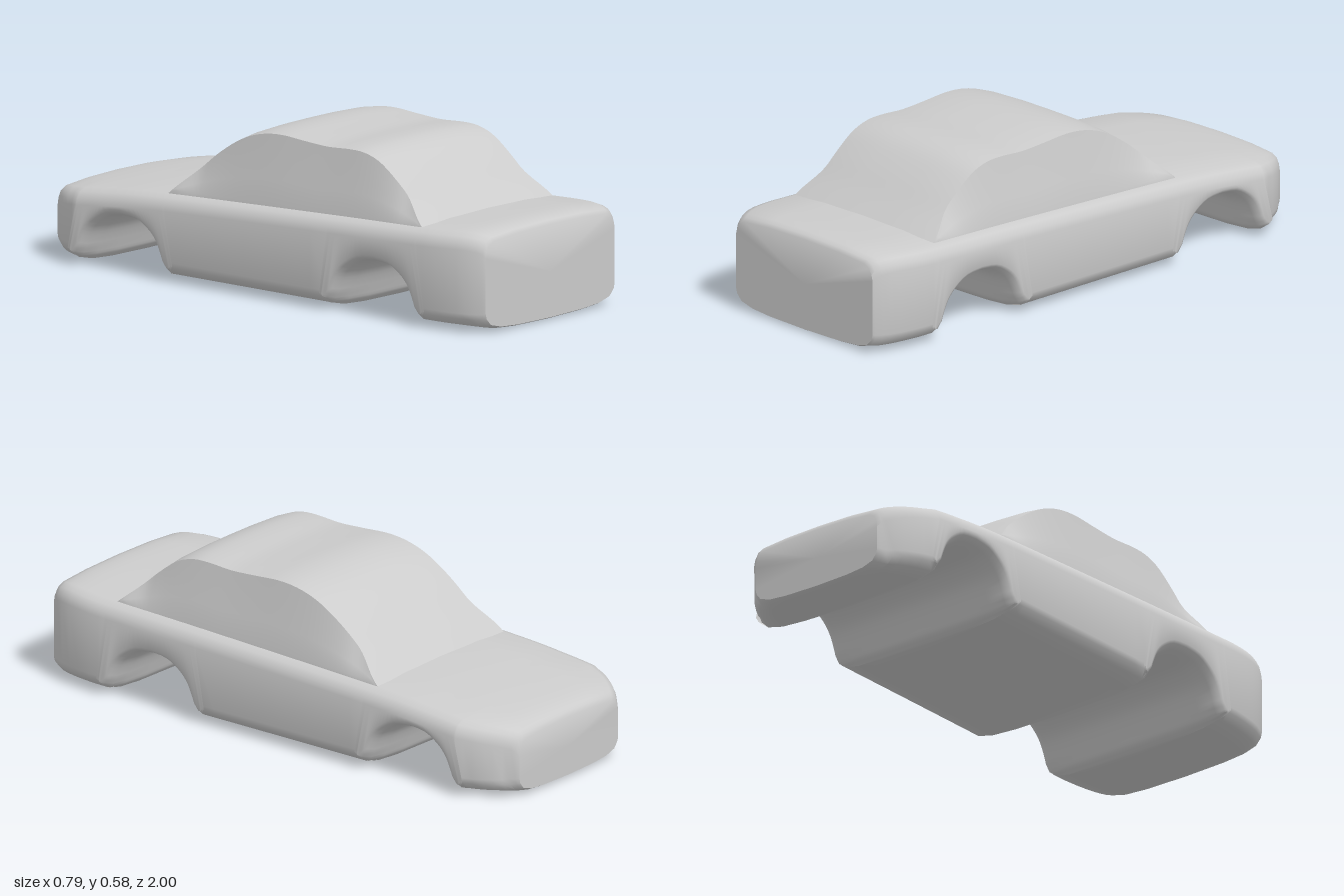
import * as THREE from 'three';
import { toCreasedNormals } from 'three/addons/utils/BufferGeometryUtils.js';

// Smooth height-by-z lookup through a few [z, value] points, z falling
function profile(points) {
  const pts = new THREE.SplineCurve(points.map(p => new THREE.Vector2(...p))).getPoints(240);
  return z => {
    if (z >= pts[0].x) return pts[0].y;
    for (let i = 1; i < pts.length; i++) {
      const a = pts[i - 1], b = pts[i];
      if (z >= b.x) return a.x === b.x ? b.y : a.y + (b.y - a.y) * (a.x - z) / (a.x - b.x);
    }
    return pts[pts.length - 1].y;
  };
}

// Skin mirrored half sections ([x, y, z] from bottom centre to top centre) and cap both ends
function loft(halves, crease) {
  const rings = halves.map(h => [...h, ...h.slice(1, -1).reverse().map(([x, y, z]) => [-x, y, z])]);
  const n = rings[0].length, pos = rings.flat(2), idx = [];
  for (let i = 0; i < rings.length - 1; i++) {
    for (let j = 0; j < n; j++) {
      const a = i * n + j, b = i * n + (j + 1) % n;
      idx.push(a, a + n, b, b, a + n, b + n);
    }
  }
  [0, rings.length - 1].forEach((r, end) => {
    const c = pos.length / 3;
    const ys = rings[r].map(p => p[1]);
    pos.push(0, (Math.min(...ys) + Math.max(...ys)) / 2, rings[r][0][2]);
    for (let j = 0; j < n; j++) {
      const a = r * n + j, b = r * n + (j + 1) % n;
      if (end) idx.push(c, b, a); else idx.push(c, a, b);
    }
  });
  const g = new THREE.BufferGeometry();
  g.setAttribute('position', new THREE.Float32BufferAttribute(pos, 3));
  g.setIndex(idx);
  return toCreasedNormals(g, crease);
}

function lowerBody() {
  const top = profile([[1, 0.335], [0.99, 0.348], [0.96, 0.356], [0.9, 0.36], [0.72, 0.353],
    [0.3, 0.34], [-0.43, 0.312], [-0.7, 0.292], [-0.87, 0.272], [-0.95, 0.257], [-0.985, 0.242], [-1, 0.222]]);
  const width = profile([[1, 0.34], [0.96, 0.362], [0.9, 0.38], [0.82, 0.391], [0.7, 0.395], [0, 0.395],
    [-0.75, 0.395], [-0.82, 0.386], [-0.88, 0.365], [-0.95, 0.318], [-1, 0.27]]);

  // Underside path with two full-width wheel arches
  const halfArch = new THREE.SplineCurve([[0.205, 0], [0.18, 0.02], [0.168, 0.05], [0.155, 0.085],
    [0.135, 0.125], [0.105, 0.155], [0.06, 0.18], [0, 0.187]].map(p => new THREE.Vector2(...p))).getPoints(21);
  const arch = c => [...halfArch.map(p => [c + p.x, p.y]),
    ...halfArch.slice(0, -1).reverse().map(p => [c - p.x, p.y])];
  const path = [[1, 0.008], [0.99, 0.003], [0.97, 0], [0.94, 0], [0.9, 0], [0.85, 0], [0.8, 0], [0.76, 0],
    ...arch(0.53), [0.25, 0], [0.1, 0], [-0.05, 0], [-0.2, 0], [-0.35, 0], ...arch(-0.61),
    [-0.84, 0], [-0.87, 0], [-0.9, 0], [-0.93, 0], [-0.96, 0], [-0.98, 0.003], [-0.99, 0.005], [-1, 0.01]];

  const halves = path.map(([z, b], i) => {
    const p = path[Math.max(i - 1, 0)], q = path[Math.min(i + 1, path.length - 1)];
    const len = Math.hypot(q[0] - p[0], q[1] - p[1]);
    const atEnd = Math.abs(z) > 0.98;
    const nz = atEnd ? 0 : (q[1] - p[1]) / len, ny = atEnd ? 1 : (p[0] - q[0]) / len;
    const off = 0.05 - 0.024 * Math.min(1, b / 0.06);
    const t = top(z), w = width(z);
    // rounded lower edge follows the underside, rounded shoulder follows the top
    const low = [[0, 0], [0.5, 0.06], [0.76, 0.2], [0.92, 0.5], [0.985, 1], [1, 1.4]]
      .map(([k, o]) => [k * w, b + ny * off * o, z + nz * off * o]);
    const high = [[1, 0.066], [0.985, 0.044], [0.945, 0.023], [0.87, 0.012], [0.5, 0.003], [0, 0]]
      .map(([k, d]) => [k * w, t - d, z]);
    return [...low, ...high];
  });
  return loft(halves, 0.75);
}

function cabin() {
  const roof = profile([[0.73, 0.342], [0.65, 0.41], [0.57, 0.482], [0.49, 0.541], [0.42, 0.566], [0.35, 0.57],
    [0.25, 0.565], [0.15, 0.57], [0.04, 0.577], [-0.05, 0.568], [-0.14, 0.538], [-0.24, 0.477],
    [-0.34, 0.396], [-0.44, 0.308]]);
  const halves = [], steps = 56;
  for (let i = 0; i <= steps; i++) {
    const z = 0.73 - 1.17 * i / steps;
    const belt = 0.326 + 0.03 * z;
    const t = roof(z), edge = t - 0.014;
    const x = 0.345 - 0.047 * THREE.MathUtils.smoothstep(t - belt, 0, 0.11);
    const base = Math.min(belt, edge) - 0.03;
    const y0 = Math.max(base + 0.01, Math.min(belt, edge - 0.005));
    halves.push([[0, base, z], [0.346, base, z], [0.345, y0, z],
      [0.345 + (x - 0.345) * 0.4, y0 + (edge - y0) * 0.35, z],
      [x, edge, z], [x * 0.8, t - 0.006, z], [x * 0.4, t - 0.001, z], [0, t, z]]);
  }
  return loft(halves, 0.6);
}

export function createModel() {
  const paint = new THREE.MeshStandardMaterial({ color: 0xcccccc });
  paint.name = 'plain grey';
  const car = new THREE.Group();
  car.name = 'carBody';
  for (const [name, geometry] of [['lowerBody', lowerBody()], ['cabin', cabin()]]) {
    const mesh = new THREE.Mesh(geometry, paint);
    mesh.name = name;
    car.add(mesh);
  }
  return car;
}
